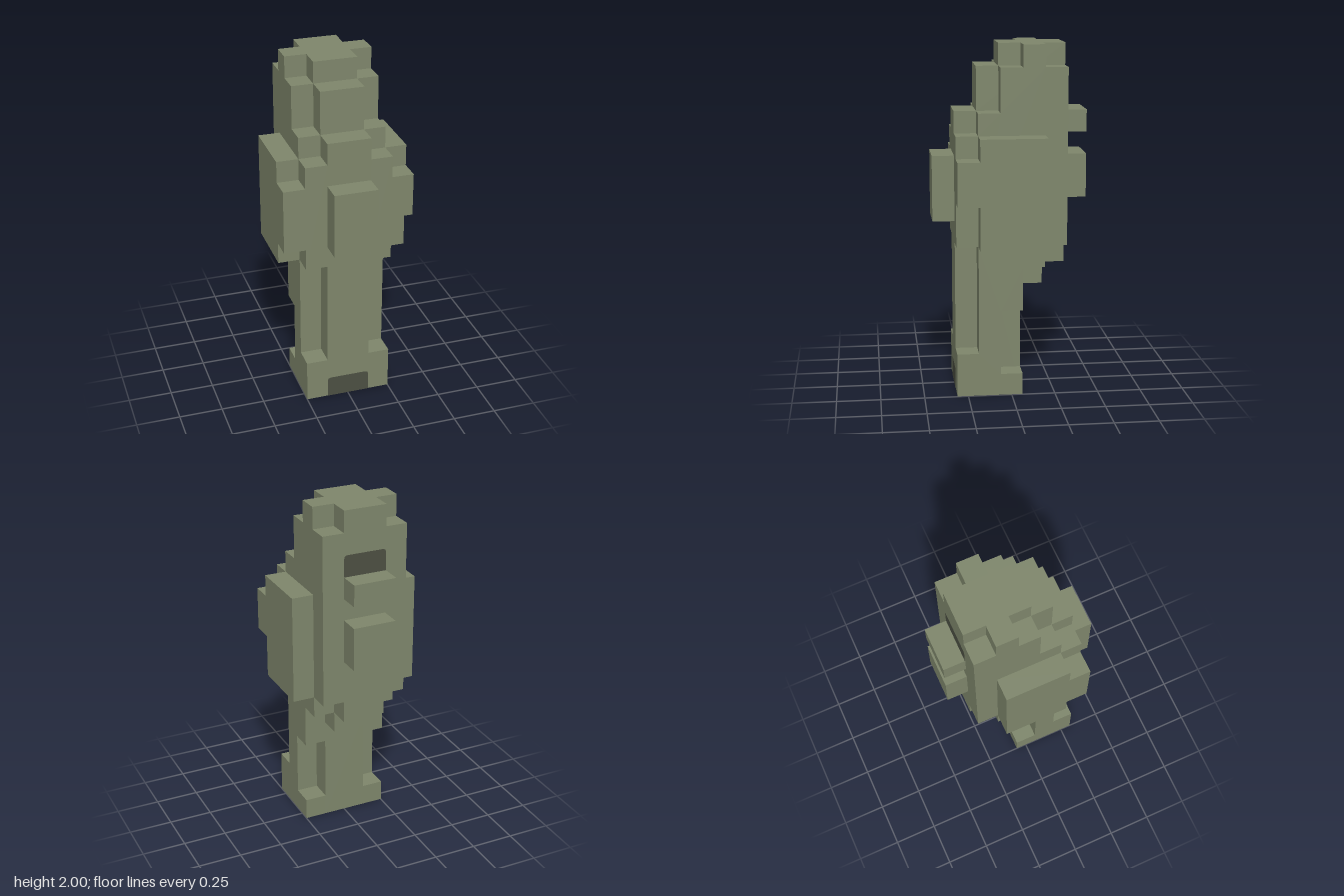
import * as THREE from 'three';

const U = 0.125; // one block

export function createModel() {
  const model = new THREE.Group();
  const olive = new THREE.MeshStandardMaterial({ color: 0x7e866b });
  olive.name = 'olive';
  const dark = new THREE.MeshStandardMaterial({ color: 0x4c4f42 });
  dark.name = 'darkOlive';

  const add = (name, geometry, material) => {
    const mesh = new THREE.Mesh(geometry, material);
    mesh.name = name;
    model.add(mesh);
    return mesh;
  };

  // Slab from x0 to x1 with a stepped side outline of [z, y] points, in blocks
  const slab = (name, x0, x1, points) => {
    const shape = new THREE.Shape(points.map(([z, y]) => new THREE.Vector2(-z * U, y * U)));
    const geometry = new THREE.ExtrudeGeometry(shape, { depth: (x1 - x0) * U, bevelEnabled: false });
    geometry.rotateY(Math.PI / 2).translate(x0 * U, 0, 0);
    return add(name, geometry, olive);
  };

  // Box two blocks wide on the centre line
  const block = (name, y0, y1, z0, z1) =>
    add(name, new THREE.BoxGeometry(2 * U, (y1 - y0) * U, (z1 - z0) * U), olive)
      .position.set(0, (y0 + y1) / 2 * U, (z0 + z1) / 2 * U);

  // Central body, from foot to crown
  slab('core', -1, 1, [
    [2.5, 0], [2.5, 13], [1.5, 13], [1.5, 15], [0.5, 15], [0.5, 16], [-2.5, 16],
    [-2.5, 6], [-1.5, 6], [-1.5, 5], [-0.5, 5], [-0.5, 0],
  ]);

  // Flanks: foot, notched leg, torso and stepped head
  const flank = [
    [2.5, 0], [2.5, 2], [1.5, 2], [1.5, 7], [2.5, 7], [2.5, 12], [1.5, 12], [1.5, 13],
    [0.5, 13], [0.5, 15], [-0.5, 15], [-0.5, 16], [-1.5, 16], [-1.5, 15], [-2.5, 15],
    [-2.5, 7], [-1.5, 7], [-1.5, 6], [-0.5, 6], [-0.5, 4], [0.5, 4], [0.5, 1], [-0.5, 1], [-0.5, 0],
  ];
  slab('leftFlank', 1, 2, flank);
  slab('rightFlank', -2, -1, flank);

  // Arms, whose front step starts at a different height on each side
  const arm = (step) => [
    [1.5, 7], [1.5, step], [2.5, step], [2.5, 11], [1.5, 11], [1.5, 12], [-1.5, 12], [-1.5, 7],
  ];
  slab('leftArm', 2, 3, arm(9));
  slab('rightArm', -3, -2, arm(8));

  // Raised blocks on chest and back
  block('chestBlock', 8, 11, 2.5, 3.5);
  block('lowerBackBlock', 9, 11, -3.5, -2.5);
  block('upperBackBlock', 12, 13, -3.5, -2.5);

  // Dark patches with two rounded corners
  const patch = (height) => {
    const w = U, h = height * U, r = 0.022;
    const s = new THREE.Shape();
    s.moveTo(-w, 0);
    s.lineTo(w, 0);
    s.lineTo(w, h - r);
    s.quadraticCurveTo(w, h, w - r, h);
    s.lineTo(-w + r, h);
    s.quadraticCurveTo(-w, h, -w, h - r);
    s.closePath();
    return new THREE.ShapeGeometry(s, 4);
  };
  const lift = 0.002, face = 2.5 * U;
  add('footFrontPatch', patch(1), dark).position.set(0, 0, face + lift);
  add('solePatch', patch(2).rotateX(Math.PI / 2).rotateY(Math.PI), dark).position.set(0, -lift, face);
  add('backPatch', patch(1).rotateY(Math.PI), dark).position.set(0, 13 * U, -face - lift);

  return model;
}
